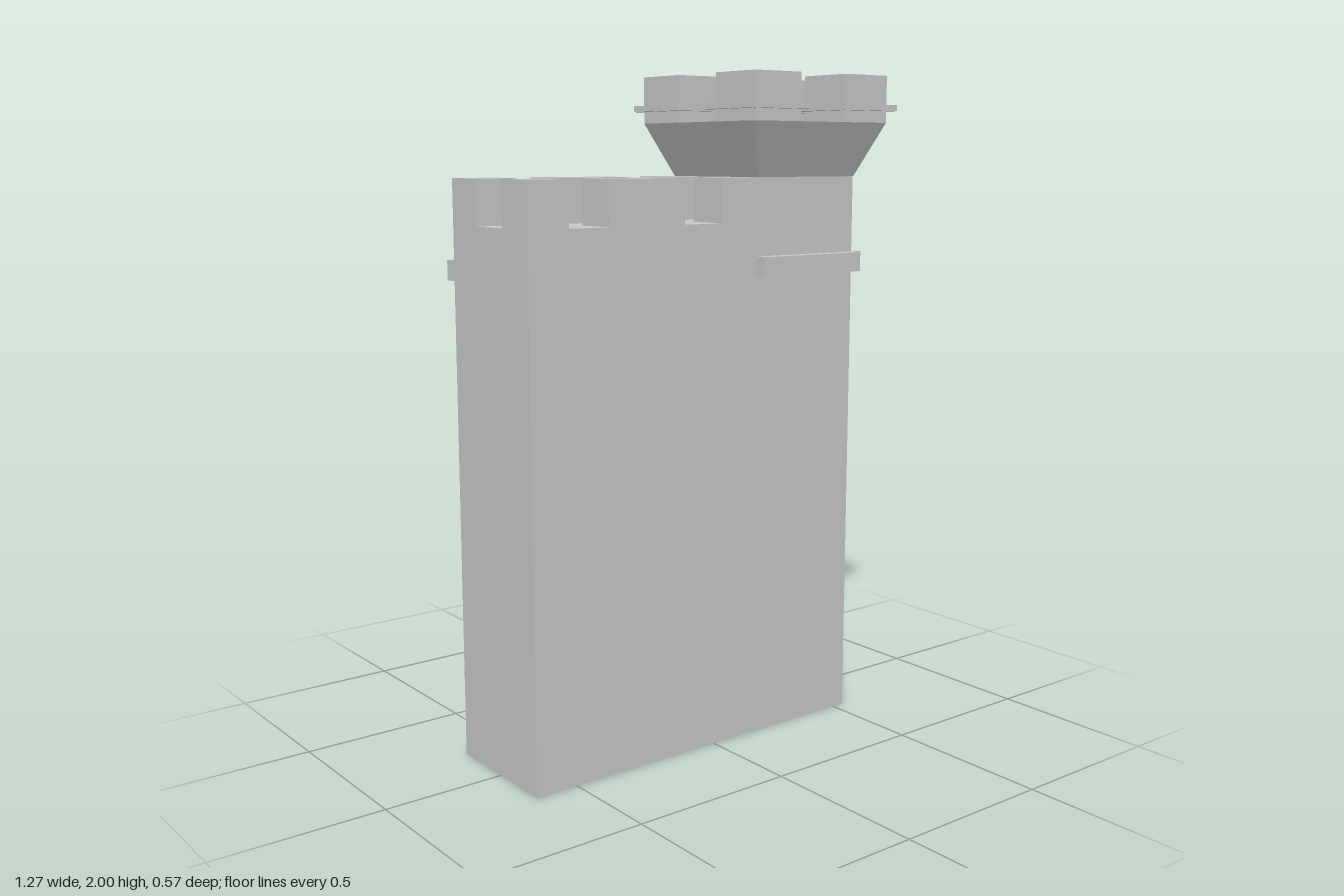
import * as THREE from 'three';

const material = new THREE.MeshStandardMaterial({ color: 0xcccccc, flatShading: true, side: THREE.DoubleSide });

export function createModel() {
  const model = new THREE.Group();
  model.name = 'castleWall';

  const add = (name, geometry) => {
    const mesh = new THREE.Mesh(geometry, material);
    mesh.name = name;
    model.add(mesh);
    return mesh;
  };

  // Box given by its extents along each axis
  const boxGeometry = ([x0, x1], [y0, y1], [z0, z1]) =>
    new THREE.BoxGeometry(x1 - x0, y1 - y0, z1 - z0)
      .translate((x0 + x1) / 2, (y0 + y1) / 2, (z0 + z1) / 2);
  const box = (name, x, y, z) => add(name, boxGeometry(x, y, z));

  // Box without some faces (0 +x, 1 -x, 2 +y, 3 -y, 4 +z, 5 -z)
  const openBox = (name, x, y, z, omitted) => {
    const geometry = boxGeometry(x, y, z);
    const index = Array.from(geometry.index.array);
    geometry.setIndex(index.filter((_, i) => !omitted.includes(Math.floor(i / 6))));
    geometry.clearGroups();
    return add(name, geometry);
  };

  // Square frame with a square hole, standing on y = 0
  const squareTube = (outer, inner, height) => {
    const corners = (s) => [[-s, -s], [s, -s], [s, s], [-s, s]].map(([x, y]) => new THREE.Vector2(x / 2, y / 2));
    const shape = new THREE.Shape(corners(outer));
    shape.holes.push(new THREE.Path(corners(inner).reverse()));
    return new THREE.ExtrudeGeometry(shape, { depth: height, bevelEnabled: false }).rotateX(-Math.PI / 2);
  };

  const left = -0.635, join = 0.15, right = 0.54, half = 0.195;
  const bandOut = half + 0.04;

  // Hollow shells, open at the ground; the tower side divides them
  openBox('wall', [left, join], [0, 1.57], [-half, half], [0, 3]);
  openBox('tower', [join, right], [0, 1.7], [-half, half], [3]);

  // Merlons along both edges of the walkway
  for (const x of [[left, -0.505], [-0.375, -0.115], [0.02, join]]) {
    box('frontMerlon', x, [1.57, 1.7], [0.065, half]);
    box('backMerlon', x, [1.57, 1.7], [-half, -0.065]);
  }

  // String course: short in front, full length at the back
  const bandY = [1.412, 1.47];
  box('frontBand', [join, right], bandY, [half, bandOut]);
  box('sideBand', [right, right + 0.04], bandY, [-bandOut, half]);
  box('backBand', [left, right], bandY, [-bandOut, -half]);

  // Flared tower head
  const center = 0.347;
  const head = new THREE.BoxGeometry(0.525, 0.16, 0.525);
  const p = head.attributes.position;
  for (let i = 0; i < p.count; i++) {
    if (p.getY(i) < 0) p.setXYZ(i, Math.sign(p.getX(i)) * half, p.getY(i), Math.sign(p.getZ(i)) * half);
  }
  head.computeVertexNormals();
  add('towerHead', head).position.set(center, 1.78, 0);

  // Four hollow corner turrets with thin collars
  for (const sx of [-1, 1]) {
    for (const sz of [-1, 1]) {
      const x = center + sx * 0.175, z = sz * 0.175;
      add('turret', squareTube(0.175, 0.12, 0.14)).position.set(x, 1.86, z);
      add('turretCollar', squareTube(0.22, 0.175, 0.018)).position.set(x, 1.895, z);
      box('turretFloor', [x - 0.06, x + 0.06], [1.86, 1.95], [z - 0.06, z + 0.06]);
    }
  }

  return model;
}
